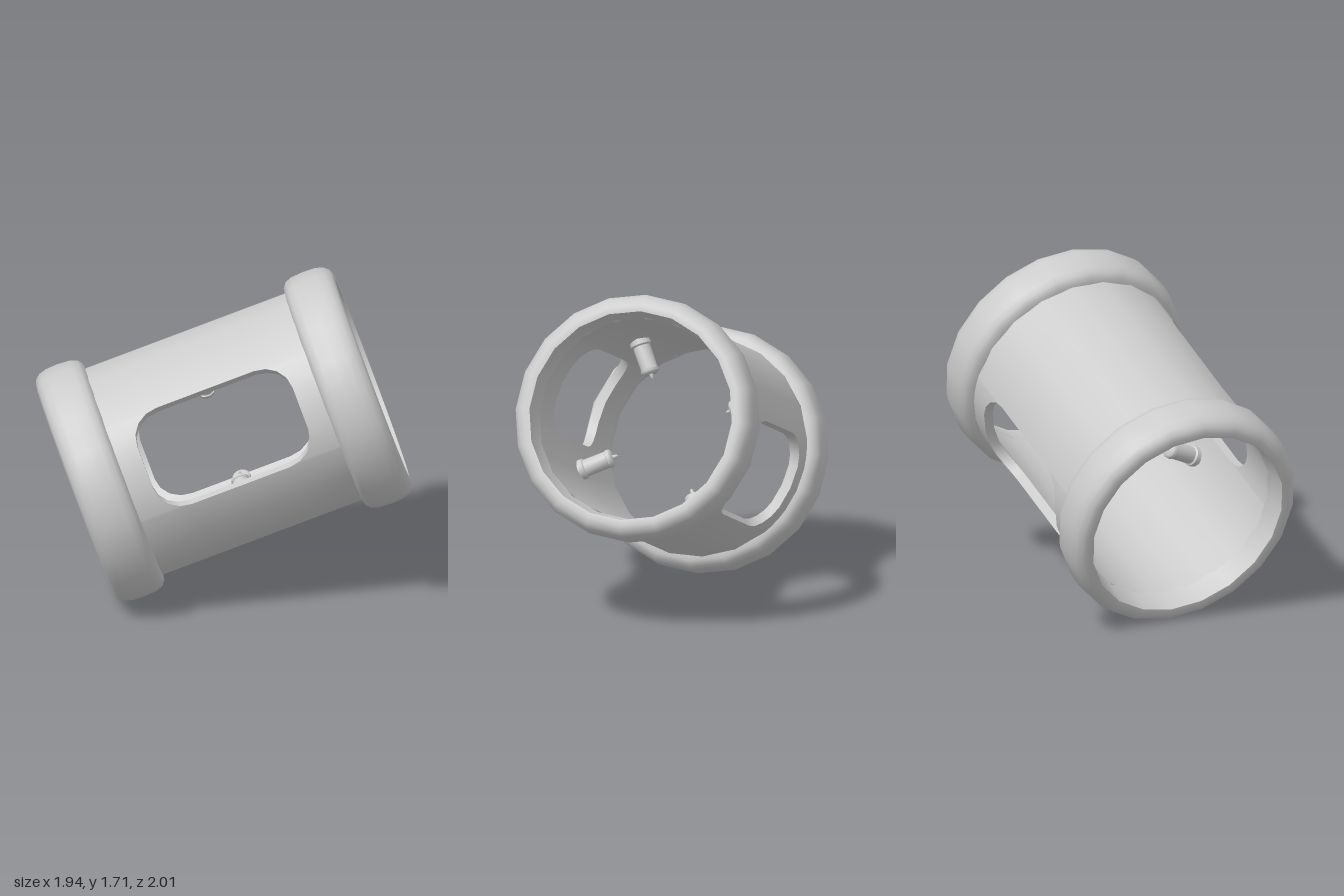
import * as THREE from 'three';
import { toCreasedNormals } from 'three/addons/utils/BufferGeometryUtils.js';

const SIDES = 20;
const OUTER = 0.575, INNER = 0.525;        // wall radii
const WALL_END = 0.7;                      // half length of the wall between the collars
const WIN_CENTRE = 20 * Math.PI / 180;     // angle of the first window, the second is opposite
const WIN_HALF_ANGLE = 27.5 * Math.PI / 180;
const WIN_HALF_LENGTH = 0.43, WIN_CORNER = 0.16;

const material = new THREE.MeshStandardMaterial({ color: 0xcccccc });

function addMesh(parent, geometry, name) {
  const mesh = new THREE.Mesh(toCreasedNormals(geometry, 0.75), material);
  mesh.name = name;
  parent.add(mesh);
  return mesh;
}

function lathe(points, sides) {
  return new THREE.LatheGeometry(points.map(([r, y]) => new THREE.Vector2(r, y)), sides);
}

// Columns around the tube: angle, half height of the opening, whether the next span is open
function wallColumns() {
  const columns = [];
  const straight = WIN_HALF_LENGTH - WIN_CORNER;
  const corner = [];
  for (let i = 0; i <= 4; i++) {
    const t = i / 4 * Math.PI / 2;
    corner.push([
      WIN_HALF_ANGLE - WIN_CORNER / OUTER * (1 - Math.cos(t)),
      straight + WIN_CORNER * Math.sin(t),
    ]);
  }
  for (let w = 0; w < 2; w++) {
    const centre = WIN_CENTRE + w * Math.PI;
    corner.forEach(([a, y]) => columns.push({ angle: centre - a, y, open: true }));
    columns.push({ angle: centre, y: WIN_HALF_LENGTH, open: true });
    [...corner].reverse().forEach(([a, y], i) =>
      columns.push({ angle: centre + a, y, open: i < corner.length - 1 }));
    // solid wall up to the next window
    const span = Math.PI - 2 * WIN_HALF_ANGLE, steps = 7;
    for (let i = 1; i < steps; i++) {
      columns.push({ angle: centre + WIN_HALF_ANGLE + span * i / steps, y: straight, open: false });
    }
  }
  return columns;
}

// Hollow wall with two rounded windows
function wallGeometry() {
  const positions = [];
  const point = (c, r, y) => [r * Math.cos(c.angle), y, r * Math.sin(c.angle)];
  const quad = (a, b, c, d) => positions.push(...a, ...b, ...c, ...a, ...c, ...d);
  const panel = (a, b, a0, a1, b0, b1) => {
    quad(point(a, OUTER, a0), point(a, OUTER, a1), point(b, OUTER, b1), point(b, OUTER, b0));
    quad(point(b, INNER, b0), point(b, INNER, b1), point(a, INNER, a1), point(a, INNER, a0));
  };
  const columns = wallColumns();
  columns.forEach((a, i) => {
    const n = columns.length;
    const b = columns[(i + 1) % n];
    const before = columns[(i + n - 1) % n];
    panel(a, b, -WALL_END, -a.y, -WALL_END, -b.y);
    panel(a, b, a.y, WALL_END, b.y, WALL_END);
    if (a.open) {
      // window ends
      quad(point(a, OUTER, a.y), point(b, OUTER, b.y), point(b, INNER, b.y), point(a, INNER, a.y));
      quad(point(a, INNER, -a.y), point(b, INNER, -b.y), point(b, OUTER, -b.y), point(a, OUTER, -a.y));
    } else {
      panel(a, b, -a.y, a.y, -b.y, b.y);
    }
    // window long sides
    const side = [point(a, OUTER, -a.y), point(a, OUTER, a.y), point(a, INNER, a.y), point(a, INNER, -a.y)];
    if (a.open && !before.open) quad(...side);
    if (!a.open && before.open) quad(...side.reverse());
  });
  const geometry = new THREE.BufferGeometry();
  geometry.setAttribute('position', new THREE.Float32BufferAttribute(positions, 3));
  return geometry;
}

export function createModel() {
  const model = new THREE.Group();
  model.name = 'windowedTube';

  // Tilted frame: local y runs along the tube, local x is level
  const tube = new THREE.Group();
  tube.name = 'tube';
  const axis = new THREE.Vector3(0.596, 0.337, -0.73).normalize();
  const level = new THREE.Vector3(-axis.z, 0, axis.x).normalize();
  const upward = new THREE.Vector3().crossVectors(level, axis);
  tube.quaternion.setFromRotationMatrix(new THREE.Matrix4().makeBasis(level, axis, upward));
  tube.position.y = 0.86;
  model.add(tube);

  addMesh(tube, wallGeometry(), 'wall');

  // Rounded collars at both ends
  const collarProfile = [
    [0.565, 0.55], [0.598, 0.555], [0.625, 0.575], [0.638, 0.61], [0.643, 0.68],
    [0.64, 0.745], [0.628, 0.785], [0.606, 0.812], [0.578, 0.823], [0.545, 0.82],
  ];
  const boreProfile = [[0.545, 0.82], [0.535, 0.74], [INNER, WALL_END - 0.01]];
  ['backCollar', 'frontCollar'].forEach((name, i) => {
    const collar = new THREE.Group();
    collar.name = name;
    collar.rotation.x = i * Math.PI;
    addMesh(collar, lathe(collarProfile, SIDES), 'collarShell');
    addMesh(collar, lathe(boreProfile, SIDES), 'collarBore');
    tube.add(collar);
  });

  // Four pegs pointing inward, between the windows
  const pegProfile = [
    [0.055, 0], [0.055, 0.035], [0.046, 0.042], [0.045, 0.165], [0.05, 0.168],
    [0.048, 0.185], [0.036, 0.195], [0.012, 0.195], [0.008, 0.215], [0, 0.225],
  ];
  for (let i = 0; i < 4; i++) {
    const angle = WIN_CENTRE + Math.PI / 4 + i * Math.PI / 2;
    const normal = new THREE.Vector3(Math.cos(angle), 0, Math.sin(angle));
    const peg = addMesh(tube, lathe(pegProfile, 14), 'peg');
    peg.position.copy(normal).multiplyScalar(0.53);
    peg.quaternion.setFromUnitVectors(new THREE.Vector3(0, 1, 0), normal.clone().negate());
  }

  return model;
}
